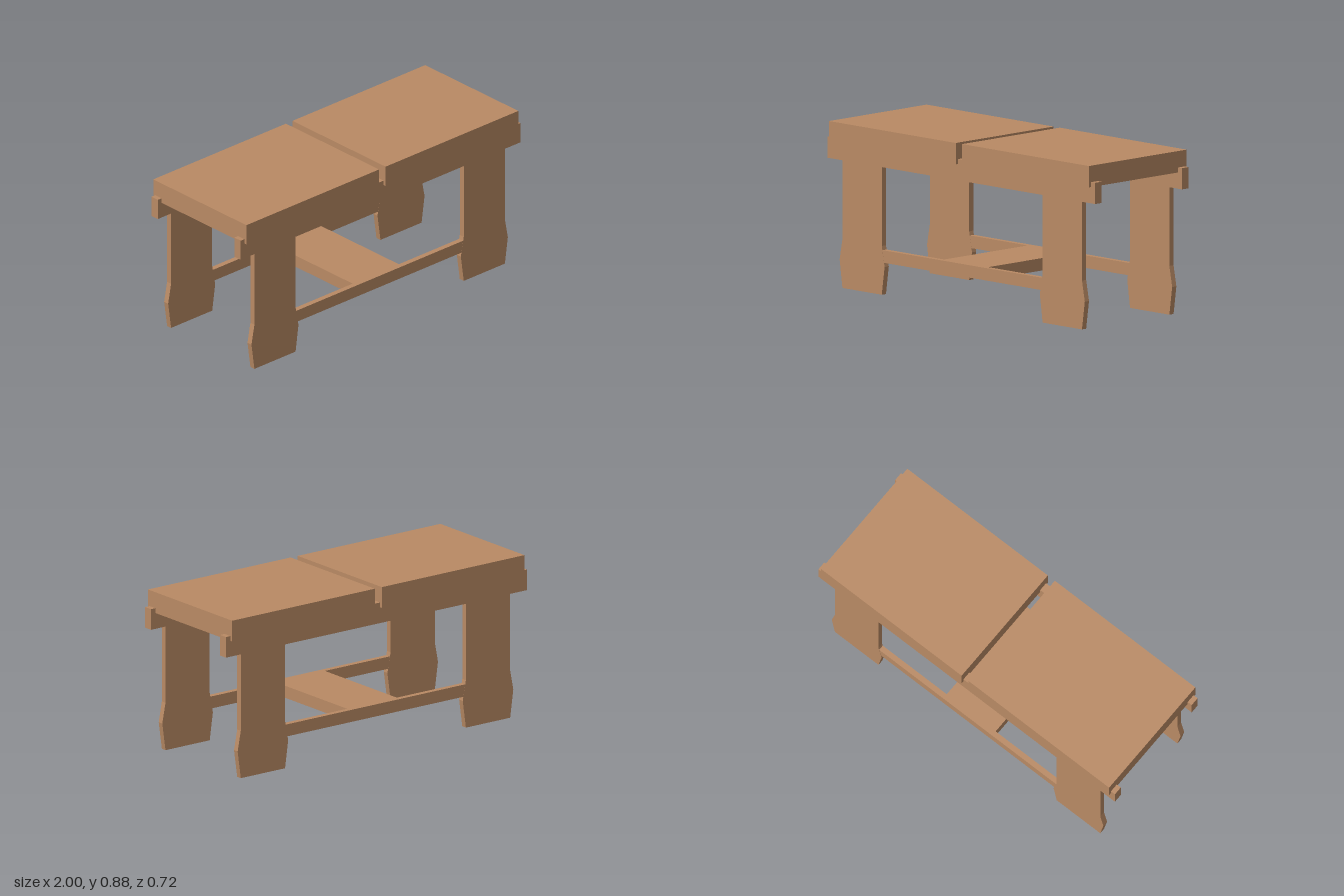
import * as THREE from 'three';

export function createModel() {
  const model = new THREE.Group();
  model.name = 'bench';
  const wood = new THREE.MeshStandardMaterial({ color: 0xb98a64 });
  wood.name = 'wood';

  const add = (name, geometry, x = 0, y = 0, z = 0) => {
    const mesh = new THREE.Mesh(geometry, wood);
    mesh.name = name;
    mesh.position.set(x, y, z);
    model.add(mesh);
  };
  const box = (name, w, h, d, x, y, z) => add(name, new THREE.BoxGeometry(w, h, d), x, y, z);

  // Two top slabs with a gap between them
  box('rightTopSlab', 0.948, 0.114, 0.72, -0.499, 0.825, 0);
  box('leftTopSlab', 0.948, 0.114, 0.72, 0.496, 0.825, 0);

  // Leg board with a flared foot
  const half = [[0.147, 0], [0.168, 0.15], [0.147, 0.26], [0.147, 0.69]];
  const outline = [...half, ...half.map(([x, y]) => [-x, y]).reverse()];
  const legShape = new THREE.Shape(outline.map(([x, y]) => new THREE.Vector2(x, y)));
  const legGeometry = new THREE.ExtrudeGeometry(legShape, { depth: 0.031, bevelEnabled: false });
  legGeometry.translate(0, 0, -0.0155);

  for (const side of [1, -1]) {
    const end = side > 0 ? 'front' : 'back';
    // Rail under the slabs and low stretcher between the legs
    box(end + 'Rail', 2, 0.113, 0.049, 0, 0.738, side * 0.3205);
    box(end + 'Stretcher', 1.2, 0.066, 0.03, 0, 0.205, side * 0.322);
    for (const x of [-0.748, 0.748]) {
      add(end + (x > 0 ? 'Left' : 'Right') + 'Leg', legGeometry, x, 0, side * 0.322);
    }
  }

  // Wide board joining the stretchers
  box('crossBoard', 0.33, 0.066, 0.614, 0, 0.205, 0);

  return model;
}
